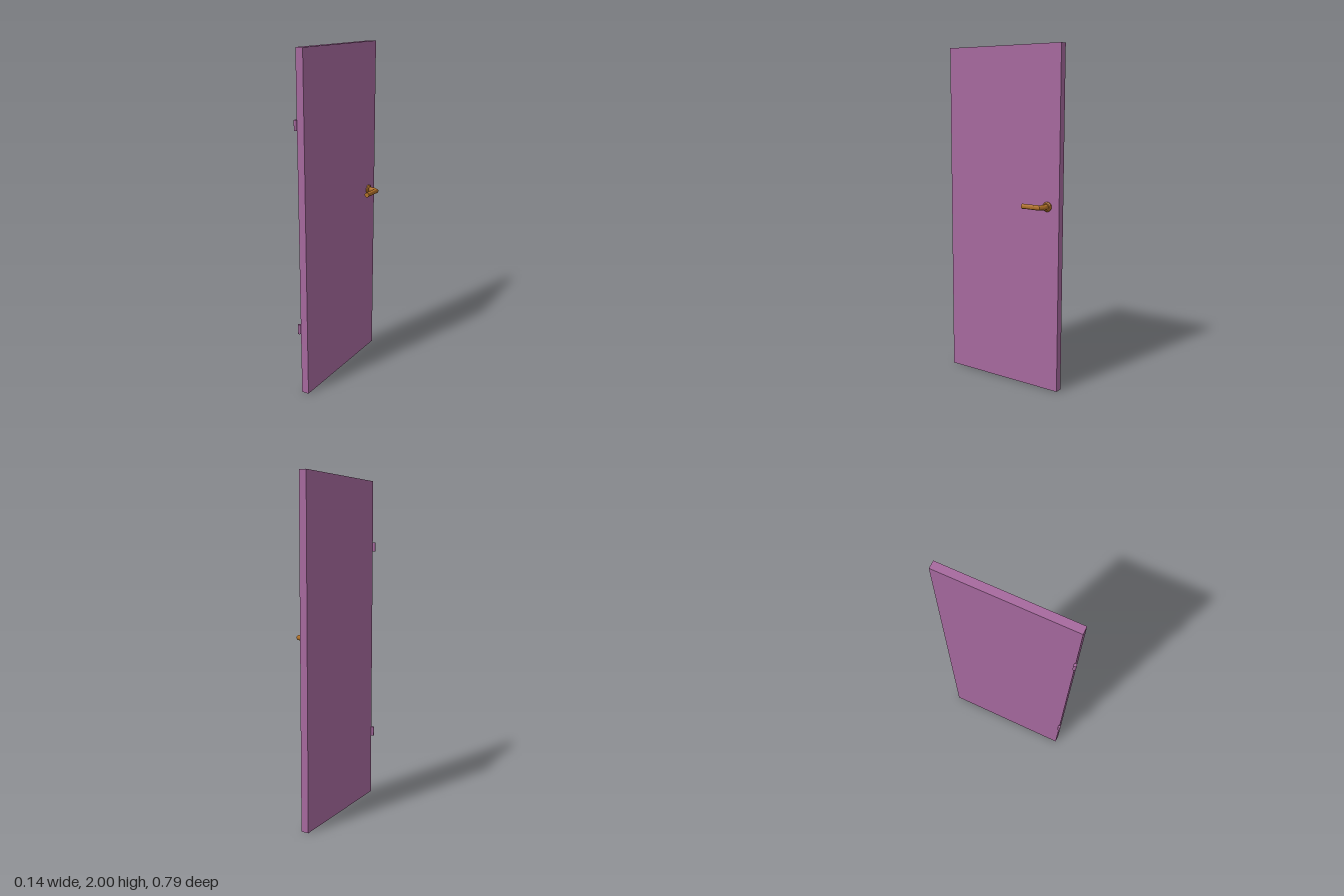
import * as THREE from 'three';
import { toCreasedNormals } from 'three/addons/utils/BufferGeometryUtils.js';

const HANDLE_Y = 1.095, HANDLE_Z = -0.319, FACE_X = -0.008;

// Bent tube lying flat: each ring is [outer x, outer z, inner x, inner z, half height]
function sweepRings(rings, sides) {
  const positions = [], index = [];
  for (const [ox, oz, ix, iz, r] of rings) {
    for (let j = 0; j < sides; j++) {
      const a = (j / sides) * Math.PI * 2, c = Math.cos(a) / 2;
      positions.push((ox + ix) / 2 + (ox - ix) * c, r * Math.sin(a), (oz + iz) / 2 + (oz - iz) * c);
    }
  }
  for (let i = 0; i < rings.length - 1; i++) {
    for (let j = 0; j < sides; j++) {
      const a = i * sides + j, b = i * sides + (j + 1) % sides;
      index.push(a, b, a + sides, b, b + sides, a + sides);
    }
  }
  // Flat cap on the free end
  const last = (rings.length - 1) * sides;
  for (let j = 1; j < sides - 1; j++) index.push(last, last + j, last + j + 1);
  const geometry = new THREE.BufferGeometry();
  geometry.setAttribute('position', new THREE.Float32BufferAttribute(positions, 3));
  geometry.setIndex(index);
  return toCreasedNormals(geometry, 0.7);
}

export function createModel() {
  const model = new THREE.Group();
  model.name = 'door';
  const paint = new THREE.MeshStandardMaterial({ color: 0xa6699e });
  const brass = new THREE.MeshStandardMaterial({ color: 0xb07028 });

  function add(parent, name, geometry, material, x, y, z) {
    const mesh = new THREE.Mesh(geometry, material);
    mesh.name = name;
    mesh.position.set(x, y, z);
    parent.add(mesh);
    return mesh;
  }

  // Door leaf
  add(model, 'doorPanel', new THREE.BoxGeometry(0.045, 2, 0.781), paint, -0.0305, 1, -0.0055);

  // Hinge barrels on the rear corner
  const barrel = new THREE.CylinderGeometry(0.009, 0.009, 0.058, 16);
  for (const [name, y] of [['lowerHinge', 0.41], ['upperHinge', 1.597]]) {
    add(model, name, barrel, paint, -0.0615, y, 0.386);
  }

  // Handle: chamfered rose and bent lever
  const handle = new THREE.Group();
  handle.name = 'handle';
  handle.position.y = HANDLE_Y;
  model.add(handle);

  const roseProfile = [[0, 0], [0.028, 0], [0.028, 0.007], [0.021, 0.013], [0, 0.013]]
    .map(([r, h]) => new THREE.Vector2(r, h));
  const rose = add(handle, 'handleRose',
    toCreasedNormals(new THREE.LatheGeometry(roseProfile, 24), 0.5), brass, FACE_X, 0, HANDLE_Z);
  rose.rotation.z = -Math.PI / 2;

  const lever = [
    [0.000, -0.334, 0.000, -0.303, 0.0155],
    [0.035, -0.334, 0.029, -0.303, 0.0155],
    [0.068, -0.314, 0.041, -0.296, 0.015],
    [0.068, -0.206, 0.040, -0.206, 0.014],
    [0.069, -0.190, 0.039, -0.190, 0.015],
  ];
  add(handle, 'handleLever', sweepRings(lever, 20), brass, 0, 0, 0);

  return model;
}
